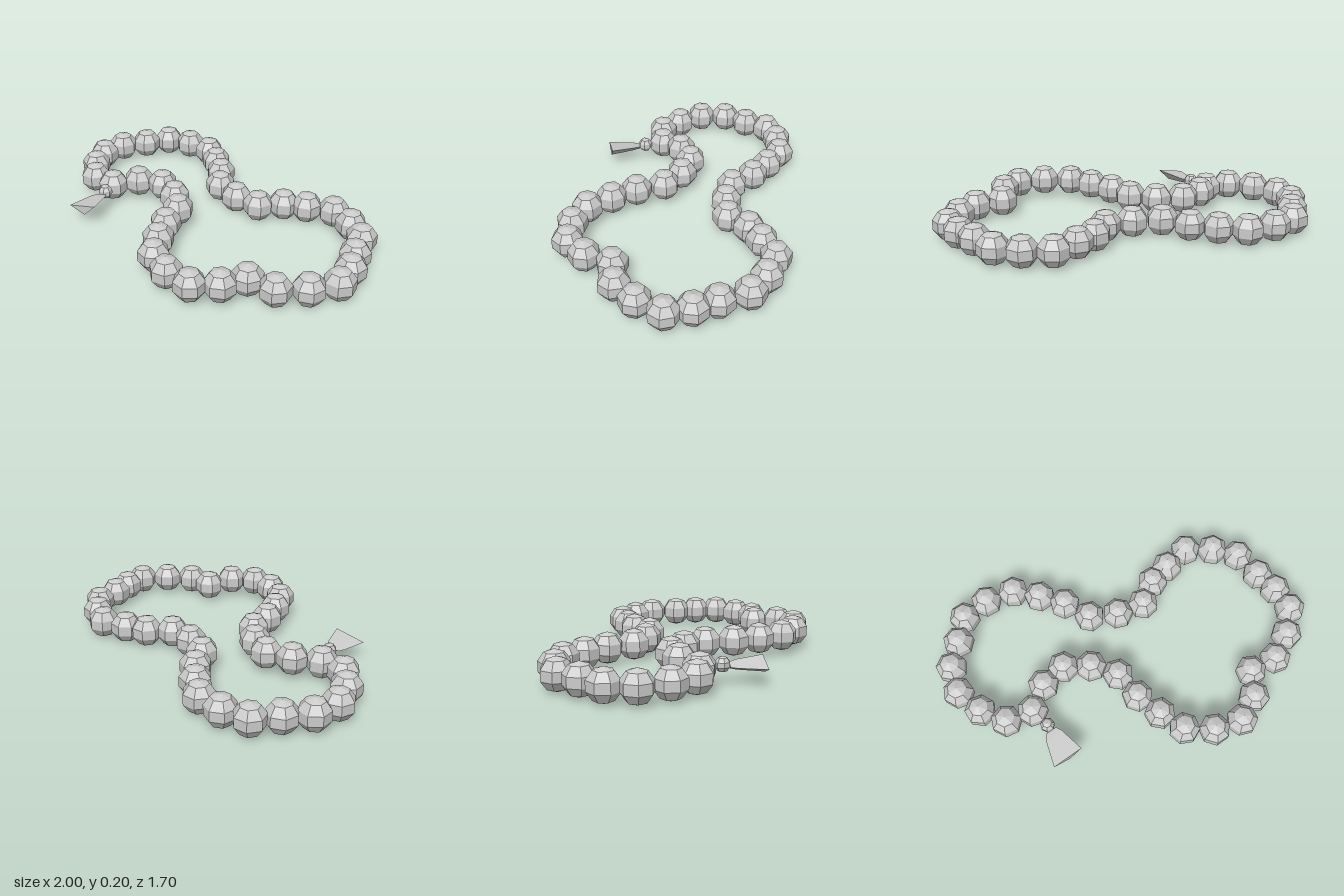
import * as THREE from 'three';

// Bead centres around the loop: [x, z]
const CENTRES = [
  [-0.66, -0.06], [-0.52, -0.135], [-0.365, -0.145], [-0.24, -0.045], [-0.155, 0.095],
  [-0.155, 0.265], [-0.125, 0.425], [-0.08, 0.58], [0.045, 0.695], [0.2, 0.755],
  [0.345, 0.7], [0.445, 0.575], [0.605, 0.61], [0.76, 0.545], [0.89, 0.44],
  [0.91, 0.295], [0.9, 0.155], [0.895, -0.015], [0.805, -0.145], [0.68, -0.25],
  [0.52, -0.24], [0.385, -0.22], [0.25, -0.15], [0.095, -0.2], [-0.045, -0.295],
  [-0.105, -0.455], [-0.19, -0.59], [-0.29, -0.715], [-0.45, -0.77], [-0.61, -0.77],
  [-0.73, -0.67], [-0.855, -0.57], [-0.915, -0.42], [-0.885, -0.255], [-0.81, -0.11],
];
const RADIUS = 0.092;

export function createModel() {
  const model = new THREE.Group();
  model.name = 'beadBracelet';
  const material = new THREE.MeshStandardMaterial({ color: 0xcccccc, flatShading: true });

  // Loop of seven-sided beads, each turned to follow the string
  const beads = new THREE.Group();
  beads.name = 'beadLoop';
  const beadGeometry = new THREE.SphereGeometry(RADIUS, 7, 5);
  const count = CENTRES.length;
  CENTRES.forEach(([x, z], i) => {
    const before = CENTRES[(i + count - 1) % count];
    const after = CENTRES[(i + 1) % count];
    const lift = i >= 1 && i <= 10 ? 0.018 : 0; // this stretch lies slightly higher
    const bead = new THREE.Mesh(beadGeometry, material);
    bead.name = `bead${i + 1}`;
    bead.position.set(x, RADIUS + lift, z);
    bead.rotation.y = Math.atan2(after[0] - before[0], after[1] - before[1]);
    beads.add(bead);
  });
  model.add(beads);

  // Small bead joining the tassel to the loop
  const knot = new THREE.Mesh(new THREE.SphereGeometry(0.043, 7, 5), material);
  knot.name = 'tasselBead';
  knot.position.set(-0.65, 0.105, 0.062);
  model.add(knot);

  // Flattened three-sided tassel, pointing forward and slightly rolled
  const profile = [[0, 0], [0.04, 0], [0.062, 0.035], [0.106, 0.185], [0, 0.185]]
    .map(([r, y]) => new THREE.Vector2(r, y));
  const tasselGeometry = new THREE.LatheGeometry(profile, 3);
  tasselGeometry.scale(1, 1, 0.35);
  tasselGeometry.rotateX(Math.PI / 2);
  const tassel = new THREE.Mesh(tasselGeometry, material);
  tassel.name = 'tassel';
  tassel.position.set(-0.655, 0.095, 0.1);
  tassel.rotation.set(0, -0.13, 0.2);
  model.add(tassel);

  return model;
}
